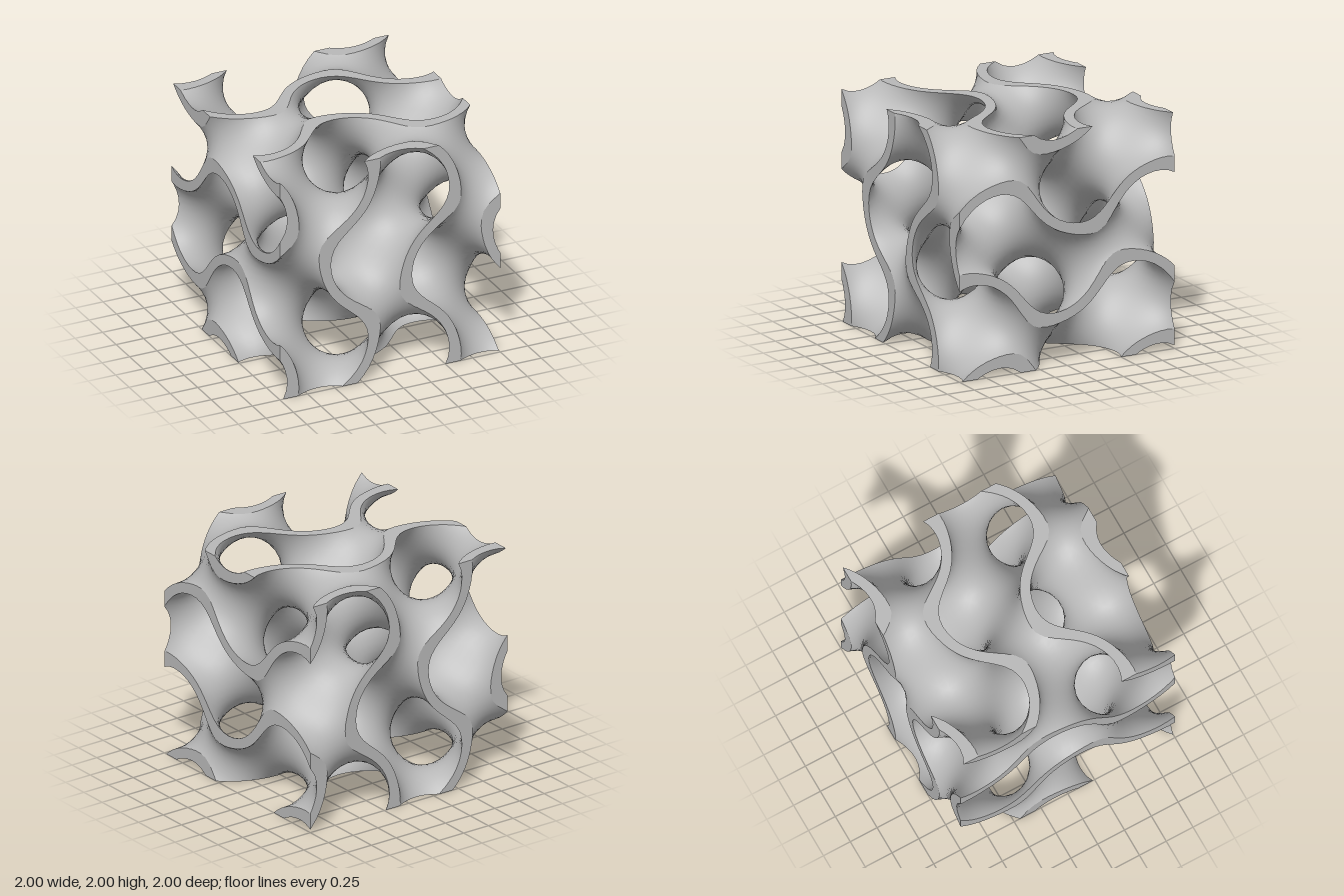
import * as THREE from 'three';

const N = 32;            // grid cells per side of the cube
const K = Math.PI / 0.736; // half a wave is 0.736 units
const T = 0.267;         // half thickness of the wall, as a field value
const { sin, cos } = Math;

// gyroid field and its gradient, in a cube from -1 to 1
const field = ([x, y, z]) =>
  sin(K * x) * cos(K * y) + sin(K * y) * cos(K * z) + sin(K * z) * cos(K * x);

const gradient = ([x, y, z]) => new THREE.Vector3(
  cos(K * x) * cos(K * y) - sin(K * z) * sin(K * x),
  cos(K * y) * cos(K * z) - sin(K * x) * sin(K * y),
  cos(K * z) * cos(K * x) - sin(K * y) * sin(K * z)).normalize();

// grid point carrying its field value as a fourth entry
const gridPoint = (ijk) => {
  const p = ijk.map((i) => -1 + (2 * i) / N);
  return [...p, field(p)];
};

// point on the edge a-b where the field equals level
const cross = (a, b, level) => {
  const s = (level - a[3]) / (b[3] - a[3]);
  return a.map((v, i) => v + (b[i] - v) * s);
};

// collects triangles, turning each one to agree with its normals
class Skin {
  positions = [];
  normals = [];
  add(corners, normalAt) {
    const [a, b, c] = corners.map((p) => new THREE.Vector3(p[0], p[1], p[2]));
    const face = b.clone().sub(a).cross(c.clone().sub(a));
    if (face.lengthSq() < 1e-16) return;
    const order = face.dot(normalAt(corners[0])) < 0 ? [0, 2, 1] : [0, 1, 2];
    for (const i of order) {
      const p = corners[i];
      this.positions.push(p[0], p[1] + 1, p[2]);
      this.normals.push(...normalAt(p).toArray());
    }
  }
  mesh(name, material) {
    const geometry = new THREE.BufferGeometry();
    geometry.setAttribute('position', new THREE.Float32BufferAttribute(this.positions, 3));
    geometry.setAttribute('normal', new THREE.Float32BufferAttribute(this.normals, 3));
    const mesh = new THREE.Mesh(geometry, material);
    mesh.name = name;
    return mesh;
  }
}

// one side of the wall: the surface where the field equals side * T
function wallSide(side) {
  const skin = new Skin();
  const level = side * T;
  const normalAt = (p) => gradient(p).multiplyScalar(side);
  const axisOrders = [[0, 1, 2], [0, 2, 1], [1, 0, 2], [1, 2, 0], [2, 0, 1], [2, 1, 0]];
  const size = N + 1;
  const points = [];
  for (let i = 0; i <= N; i++)
    for (let j = 0; j <= N; j++)
      for (let k = 0; k <= N; k++) points.push(gridPoint([i, j, k]));
  const step = [size * size, size, 1];

  for (let i = 0; i < N; i++) for (let j = 0; j < N; j++) for (let k = 0; k < N; k++) {
    const start = i * step[0] + j * step[1] + k;
    // six tetrahedra per cell, each walking the cell along three axes
    for (const [a, b, c] of axisOrders) {
      const tet = [start, start + step[a], start + step[a] + step[b],
        start + step[a] + step[b] + step[c]].map((n) => points[n]);
      const low = tet.filter((p) => p[3] < level);
      const high = tet.filter((p) => p[3] >= level);
      if (!low.length || !high.length) continue;
      if (low.length === 2) {
        const q = [[0, 0], [0, 1], [1, 1], [1, 0]].map(([l, h]) => cross(low[l], high[h], level));
        skin.add([q[0], q[1], q[2]], normalAt);
        skin.add([q[0], q[2], q[3]], normalAt);
      } else {
        const [one, three] = low.length === 1 ? [low[0], high] : [high[0], low];
        skin.add(three.map((p) => cross(one, p, level)), normalAt);
      }
    }
  }
  return skin;
}

// keeps the part of a polygon where side * field is below T
function clip(polygon, side) {
  const out = [];
  polygon.forEach((a, i) => {
    const b = polygon[(i + 1) % polygon.length];
    const inA = side * a[3] < T;
    const inB = side * b[3] < T;
    if (inA) out.push(a);
    if (inA !== inB) out.push(cross(a, b, side * T));
  });
  return out;
}

// flat bands where the wall is cut by the six sides of the cube
function cutBands() {
  const skin = new Skin();
  for (let axis = 0; axis < 3; axis++) for (const end of [0, N]) {
    const normal = new THREE.Vector3().setComponent(axis, end ? 1 : -1);
    const at = (u, v) => {
      const ijk = [0, 0, 0];
      ijk[axis] = end;
      ijk[(axis + 1) % 3] = u;
      ijk[(axis + 2) % 3] = v;
      return gridPoint(ijk);
    };
    for (let u = 0; u < N; u++) for (let v = 0; v < N; v++) {
      const a = at(u, v), c = at(u + 1, v + 1);
      for (const b of [at(u + 1, v), at(u, v + 1)]) {
        const band = clip(clip([a, b, c], 1), -1);
        for (let n = 1; n + 1 < band.length; n++)
          skin.add([band[0], band[n], band[n + 1]], () => normal);
      }
    }
  }
  return skin;
}

export function createModel() {
  const model = new THREE.Group();
  model.name = 'gyroidCube';
  const grey = new THREE.MeshStandardMaterial({ color: 0xb8b8b8 });
  grey.name = 'plainGrey';
  model.add(
    wallSide(1).mesh('wallFirstSide', grey),
    wallSide(-1).mesh('wallSecondSide', grey),
    cutBands().mesh('cutEdges', grey));
  return model;
}
